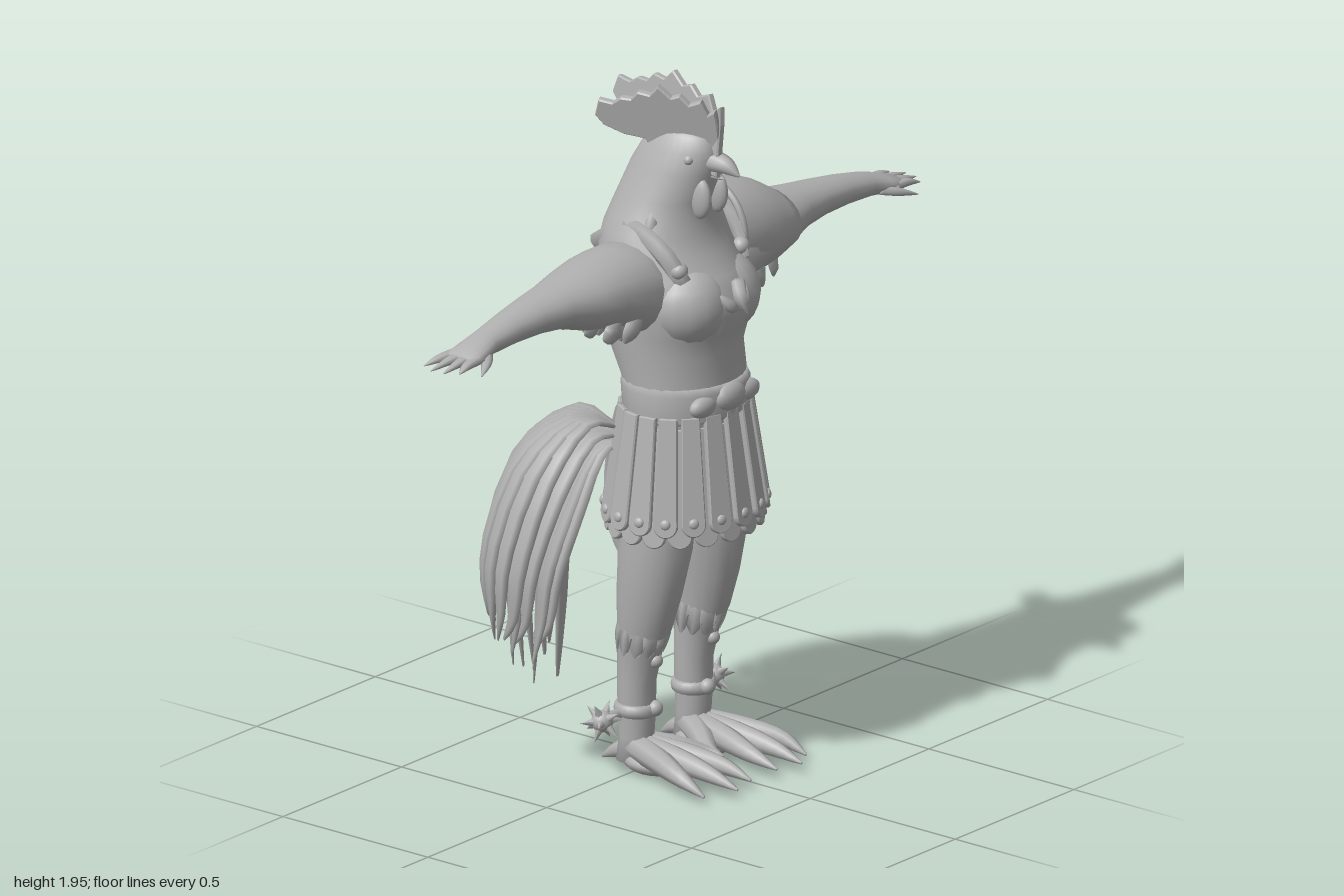
import * as THREE from 'three';

const V = (p) => new THREE.Vector3(...p);

// Closed skin over a list of rings (each an array of Vector3)
function skin(rings) {
  const n = rings[0].length;
  const mid = (r) => r.reduce((s, p) => s.add(p), new THREE.Vector3()).divideScalar(n);
  const all = [rings[0].map(() => mid(rings[0])), ...rings, rings[0].map(() => mid(rings[rings.length - 1]))];
  const pos = [], idx = [];
  all.forEach((r) => r.forEach((p) => pos.push(p.x, p.y, p.z)));
  for (let i = 0; i < all.length - 1; i++) for (let j = 0; j < n; j++) {
    const a = i * n + j, b = i * n + (j + 1) % n;
    idx.push(a, b, a + n, b, b + n, a + n);
  }
  const g = new THREE.BufferGeometry();
  g.setAttribute('position', new THREE.Float32BufferAttribute(pos, 3));
  g.setIndex(idx);
  g.computeVertexNormals();
  return g;
}

// Sections [x, y, z, a, b] stacked upward ('y') or outward ('x')
function loft(axis, sections, n = 24) {
  return skin(sections.map(([x, y, z, a, b]) => Array.from({ length: n }, (_, j) => {
    const s = Math.sin(j / n * Math.PI * 2), c = Math.cos(j / n * Math.PI * 2);
    return axis === 'y' ? new THREE.Vector3(x + a * s, y, z + b * c) : new THREE.Vector3(x, y + a * c, z + b * s);
  })));
}

// Tapered blade along a curve: feathers, toes, fingers
const vane = (u) => Math.pow(Math.sin(Math.PI * (0.1 + 0.88 * u)), 0.6);
const claw = (u) => 1 - 0.9 * u * u;
function blade(points, w, t, ref, profile = vane, n = 6, steps = 10) {
  const curve = new THREE.CatmullRomCurve3(points.map(V)), rings = [];
  for (let i = 0; i <= steps; i++) {
    const u = i / steps, p = curve.getPoint(u), T = curve.getTangent(u);
    const W = V(ref).cross(T).normalize(), N = T.clone().cross(W), k = profile(u);
    rings.push(Array.from({ length: n }, (_, j) => {
      const a = j / n * Math.PI * 2;
      return p.clone().addScaledVector(W, w * k * Math.cos(a)).addScaledVector(N, t * k * Math.sin(a));
    }));
  }
  return skin(rings);
}

// Mirror image across x = 0 with the corner order turned back
function flip(g) {
  const m = g.clone().scale(-1, 1, 1), normal = g.attributes.normal, index = m.index.array;
  for (let i = 0; i < index.length; i += 3) [index[i + 1], index[i + 2]] = [index[i + 2], index[i + 1]];
  for (let i = 0; i < normal.count; i++) m.attributes.normal.setXYZ(i, -normal.getX(i), normal.getY(i), normal.getZ(i));
  return m;
}

export function createModel() {
  const root = new THREE.Group();
  root.name = 'roosterGladiator';
  const grey = new THREE.MeshStandardMaterial({ color: 0xb0b0b0 });
  grey.name = 'stoneGrey';
  const add = (name, g) => {
    const m = new THREE.Mesh(g, grey);
    m.name = name;
    root.add(m);
  };
  const pair = (name, g) => { add(name + 'Left', g); add(name + 'Right', flip(g)); };
  const ball = (x, y, z, a, b = a, c = a) => new THREE.SphereGeometry(1, 16, 12).scale(a, b, c).translate(x, y, z);
  let seed = 7;
  const rnd = () => (seed = (seed * 16807) % 2147483647) / 2147483647;

  // Torso, neck and head in one skin
  add('body', loft('y', [[0, 0.86, 0.06, 0.16, 0.12], [0, 0.98, 0.075, 0.18, 0.145], [0, 1.1, 0.07, 0.18, 0.155],
    [0, 1.2, 0.04, 0.19, 0.17], [0, 1.26, 0.042, 0.195, 0.187], [0, 1.32, 0.046, 0.2, 0.204], [0, 1.37, 0.04, 0.2, 0.207],
    [0, 1.42, 0.022, 0.2, 0.192], [0, 1.48, 0, 0.19, 0.17], [0, 1.53, -0.003, 0.172, 0.158], [0, 1.57, 0, 0.152, 0.147],
    [0, 1.62, 0.01, 0.13, 0.138], [0, 1.7, 0.04, 0.1, 0.135], [0, 1.76, 0.06, 0.08, 0.12],
    [0, 1.8, 0.07, 0.055, 0.09], [0, 1.82, 0.07, 0.02, 0.04]], 32));
  pair('chestPlate', ball(0.065, 1.34, 0.12, 0.12, 0.12, 0.125));
  add('chestEmblem', blade([[0.02, 1.4, 0.23], [0.0, 1.365, 0.26], [0.01, 1.32, 0.278]], 0.028, 0.02, [1, 0, 0], claw));
  pair('emblemWing', blade([[0, 1.335, 0.25], [0.03, 1.35, 0.25], [0.055, 1.38, 0.235]], 0.018, 0.012, [0, 0, 1]));
  pair('shoulderStrap', blade([[0.13, 1.42, 0.165], [0.15, 1.5, 0.115], [0.148, 1.545, 0], [0.12, 1.46, -0.14]], 0.03, 0.012, [1, 0, 0.3], () => 1));
  pair('strapButton', ball(0.13, 1.455, 0.155, 0.024));
  add('backButton', ball(0, 1.4, -0.165, 0.028, 0.028, 0.015));

  // Head details
  add('upperBeak', blade([[0, 1.735, 0.15], [0, 1.73, 0.21], [0, 1.71, 0.255]], 0.035, 0.03, [0, 1, 0], claw, 8));
  add('lowerBeak', blade([[0, 1.7, 0.14], [0, 1.69, 0.205]], 0.025, 0.014, [0, 1, 0], claw, 8));
  pair('wattle', ball(0.035, 1.635, 0.145, 0.02, 0.06, 0.04));
  pair('eye', ball(0.06, 1.745, 0.13, 0.014));
  const comb = new THREE.Shape([[0.04, 1.7], [0.04, 1.84], [0.035, 1.885], [0.01, 1.87], [-0.01, 1.91], [-0.05, 1.895],
    [-0.08, 1.92], [-0.11, 1.91], [-0.15, 1.94], [-0.18, 1.91], [-0.22, 1.915], [-0.245, 1.89], [-0.28, 1.89], [-0.31, 1.87],
    [-0.355, 1.875], [-0.37, 1.83], [-0.345, 1.805], [-0.28, 1.785], [-0.21, 1.78], [-0.15, 1.72]].map((p) => new THREE.Vector2(...p)));
  for (const [name, yaw, roll, k] of [['combLeft', -0.13, -0.1, 1], ['combRight', 0.3, 0.2, 0.85]]) {
    add(name, new THREE.ExtrudeGeometry(comb, { depth: 0.014, bevelSize: 0.004, bevelThickness: 0.004, bevelSegments: 1 })
      .translate(0, -1.75, -0.007).rotateY(-Math.PI / 2).scale(1, 1, k).rotateZ(roll).rotateY(yaw).translate(0, 1.75, 0.15));
  }

  // Neck hackle feathers lying close to the back of the neck
  for (let row = 0; row < 3; row++) for (let i = 0; i < 13; i++) {
    const a = Math.PI * (0.4 + 1.2 * (i + (row % 2) / 2) / 12.5), s = Math.sin(a), c = Math.cos(a);
    const y = 1.69 - row * 0.06, r = 0.09 + row * 0.025;
    add('hackleFeather', blade([[s * r, y, 0.02 + c * r], [s * (r + 0.035), y - 0.08, 0.01 + c * (r + 0.035)],
      [s * (r + 0.055), y - 0.15 - rnd() * 0.03, c * (r + 0.038)]], 0.026, 0.007, [s, 0, c], undefined, 4, 6));
  }

  // Arms with feathered hands
  pair('arm', loft('x', [[0.1, 1.39, 0, 0.1, 0.13], [0.18, 1.385, 0, 0.13, 0.138], [0.24, 1.4, 0.003, 0.115, 0.135],
    [0.32, 1.415, 0.01, 0.098, 0.127], [0.4, 1.418, 0.013, 0.085, 0.113], [0.5, 1.428, 0.018, 0.062, 0.084],
    [0.6, 1.428, 0.02, 0.05, 0.068], [0.7, 1.423, 0.025, 0.042, 0.055], [0.8, 1.412, 0.03, 0.034, 0.046],
    [0.86, 1.4, 0.033, 0.027, 0.054], [0.91, 1.393, 0.035, 0.016, 0.055]], 18));
  [[-0.005, -0.03, 0.98], [0.02, 0.01, 1], [0.045, 0.05, 0.995], [0.07, 0.085, 0.97]].forEach(([z, e, x]) =>
    pair('finger', blade([[0.87, 1.395, z], [0.93, 1.393, (z + e) / 2], [x, 1.383, e]], 0.021, 0.013, [0, 1, 0], claw)));
  pair('thumb', blade([[0.83, 1.395, 0.06], [0.87, 1.385, 0.095], [0.92, 1.37, 0.12]], 0.019, 0.014, [0, 1, 0], claw));
  for (let i = 0; i < 16; i++) {
    const x = 0.2 + 0.18 * rnd(), z = -0.11 + 0.22 * i / 15;
    pair('armpitFeather', blade([[x - 0.05, 1.37, z], [x - 0.02, 1.32, z], [x, 1.25 + 0.35 * (x - 0.2), z * 0.9]],
      0.028, 0.009, [0.3, 0, 1], undefined, 4, 6));
  }

  // Domed pauldron on the left shoulder
  add('pauldron', loft('x', [[0.165, 1.45, 0, 0.14, 0.125], [0.18, 1.45, 0, 0.145, 0.13], [0.24, 1.442, 0.005, 0.145, 0.137],
    [0.3, 1.435, 0.008, 0.137, 0.137], [0.35, 1.43, 0.01, 0.12, 0.13], [0.39, 1.425, 0.012, 0.1, 0.122], [0.425, 1.42, 0.013, 0.084, 0.112]]));
  add('pauldronRim', new THREE.TorusGeometry(0.14, 0.01, 8, 32).rotateY(Math.PI / 2).scale(1, 1.04, 0.95).translate(0.175, 1.455, 0));

  // Belt and buckle
  add('belt', loft('y', [[0, 1.02, 0.075, 0.18, 0.15], [0, 1.03, 0.075, 0.19, 0.16], [0, 1.1, 0.07, 0.188, 0.163], [0, 1.12, 0.065, 0.182, 0.158]]));
  add('buckle', ball(0, 1.08, 0.22, 0.06, 0.04, 0.03));
  pair('beltKnot', ball(0.09, 1.07, 0.205, 0.05, 0.03, 0.025));

  // Skirt of hanging leather strips
  add('underSkirt', loft('y', [[0, 0.78, 0.06, 0.2, 0.165], [0, 1.03, 0.07, 0.17, 0.135]]));
  const strip = new THREE.Shape();
  strip.moveTo(-0.022, 0);
  strip.lineTo(-0.03, -0.29);
  strip.absarc(0, -0.29, 0.03, Math.PI, Math.PI * 2, false);
  strip.lineTo(0.022, 0);
  for (let layer = 0; layer < 2; layer++) for (let i = 0; i < 18; i++) {
    const a = (i + layer / 2) / 18 * Math.PI * 2, k = layer ? 0.96 : 1.03;
    const place = (g) => g.rotateX(-0.15).rotateY(a).translate(0.182 * k * Math.sin(a), 1.04 - layer * 0.035, 0.07 + 0.145 * k * Math.cos(a));
    add('skirtStrip', place(new THREE.ExtrudeGeometry(strip, { depth: 0.01, bevelSize: 0.003, bevelThickness: 0.004, bevelSegments: 1 })));
    if (!layer) add('stripStud', place(ball(0, -0.285, 0.014, 0.014, 0.014, 0.008)));
  }

  // Legs, ankle straps and feet
  pair('leg', loft('y', [[0.12, 0.03, -0.01, 0.045, 0.05], [0.12, 0.1, 0, 0.046, 0.048], [0.12, 0.16, 0, 0.052, 0.05], [0.12, 0.26, 0, 0.052, 0.054],
    [0.12, 0.35, 0.012, 0.057, 0.064], [0.122, 0.42, 0.03, 0.067, 0.08], [0.12, 0.52, 0.045, 0.08, 0.095],
    [0.115, 0.64, 0.06, 0.092, 0.105], [0.105, 0.78, 0.065, 0.095, 0.11], [0.1, 0.92, 0.07, 0.09, 0.11]], 18));
  for (let i = 0; i < 11; i++) {
    const a = i / 11 * Math.PI * 2, s = Math.sin(a), c = Math.cos(a);
    pair('shinFeather', blade([[0.12 + s * 0.058, 0.45, 0.03 + c * 0.07], [0.12 + s * 0.063, 0.4, 0.022 + c * 0.072],
      [0.12 + s * 0.058, 0.34, 0.01 + c * 0.064]], 0.026, 0.006, [s, 0, c], undefined, 4, 6));
  }
  pair('shinStud', ball(0.12, 0.325, 0.065, 0.02));
  pair('ankleStrap', new THREE.TorusGeometry(0.05, 0.012, 8, 24).rotateX(Math.PI / 2).scale(1, 1.6, 1).translate(0.12, 0.18, 0));
  pair('ankleButton', ball(0.11, 0.185, 0.055, 0.022));
  [[0.215, 0.02, 0.31], [0.135, 0.03, 0.36], [0.055, 0.03, 0.34], [0, 0.05, 0.2]].forEach(([x, y, z]) =>
    pair('toe', blade([[0.12, 0.075, -0.02], [0.12 + (x - 0.12) * 0.55, 0.065, z * 0.4], [0.12 + (x - 0.12) * 0.95, 0.05, z * 0.75], [x, y, z]],
      0.038, 0.038, [0, 1, 0], claw, 8)));
  pair('heelClaw', blade([[0.12, 0.06, 0.0], [0.12, 0.045, -0.06], [0.125, 0.015, -0.115]], 0.028, 0.03, [0, 1, 0], claw, 8));
  pair('sole', ball(0.11, 0.035, 0.05, 0.07, 0.035, 0.09));

  // Spiked spur balls
  pair('spurRod', new THREE.CylinderGeometry(0.013, 0.018, 0.09, 10).rotateZ(Math.PI / 2).translate(0.19, 0.17, -0.02));
  pair('spurBall', ball(0.235, 0.165, -0.025, 0.03));
  const ico = new THREE.IcosahedronGeometry(1, 0).attributes.position, seen = new Set();
  for (let i = 0; i < ico.count; i++) {
    const d = new THREE.Vector3().fromBufferAttribute(ico, i), key = d.toArray().map((q) => q.toFixed(2)).join();
    if (seen.has(key)) continue;
    seen.add(key);
    const q = new THREE.Quaternion().setFromUnitVectors(new THREE.Vector3(0, 1, 0), d);
    pair('spurSpike', new THREE.ConeGeometry(0.013, 0.04, 6).translate(0, 0.042, 0).applyQuaternion(q).translate(0.235, 0.165, -0.025));
  }

  // Two arching tail plumes, the tips swept backward
  for (let layer = 0; layer < 3; layer++) for (let i = 0; i < 8; i++) {
    const phi = (6 + 80 * (i + 0.3 * layer) / 7.6) * Math.PI / 180, c = Math.cos(phi), s = Math.sin(phi);
    const r = [0.35, 0.28, 0.19][layer] * (0.95 + 0.06 * rnd()) * (1 + 0.1 * Math.sin(2 * phi));
    const end = [0.36, 0.26, 0.22][layer] + 0.14 * rnd();
    const at = (k, y, back = 0) => [0.145 + r * k * c, y, THREE.MathUtils.lerp(-0.045 - r * k * s * 0.9, -0.28, back)];
    pair('tailFeather', blade([at(0, 0.97 - layer * 0.02), at(0.35, 1.01 - layer * 0.05), at(0.75, 0.91 - layer * 0.07),
      at(1, 0.66 - layer * 0.04, 0.15), at(0.97, 0.5 - layer * 0.03, 0.3), at(0.86, end, 0.6)],
    0.037, 0.012, [c, 0.6, -s], undefined, 6, 14));
  }
  return root;
}
